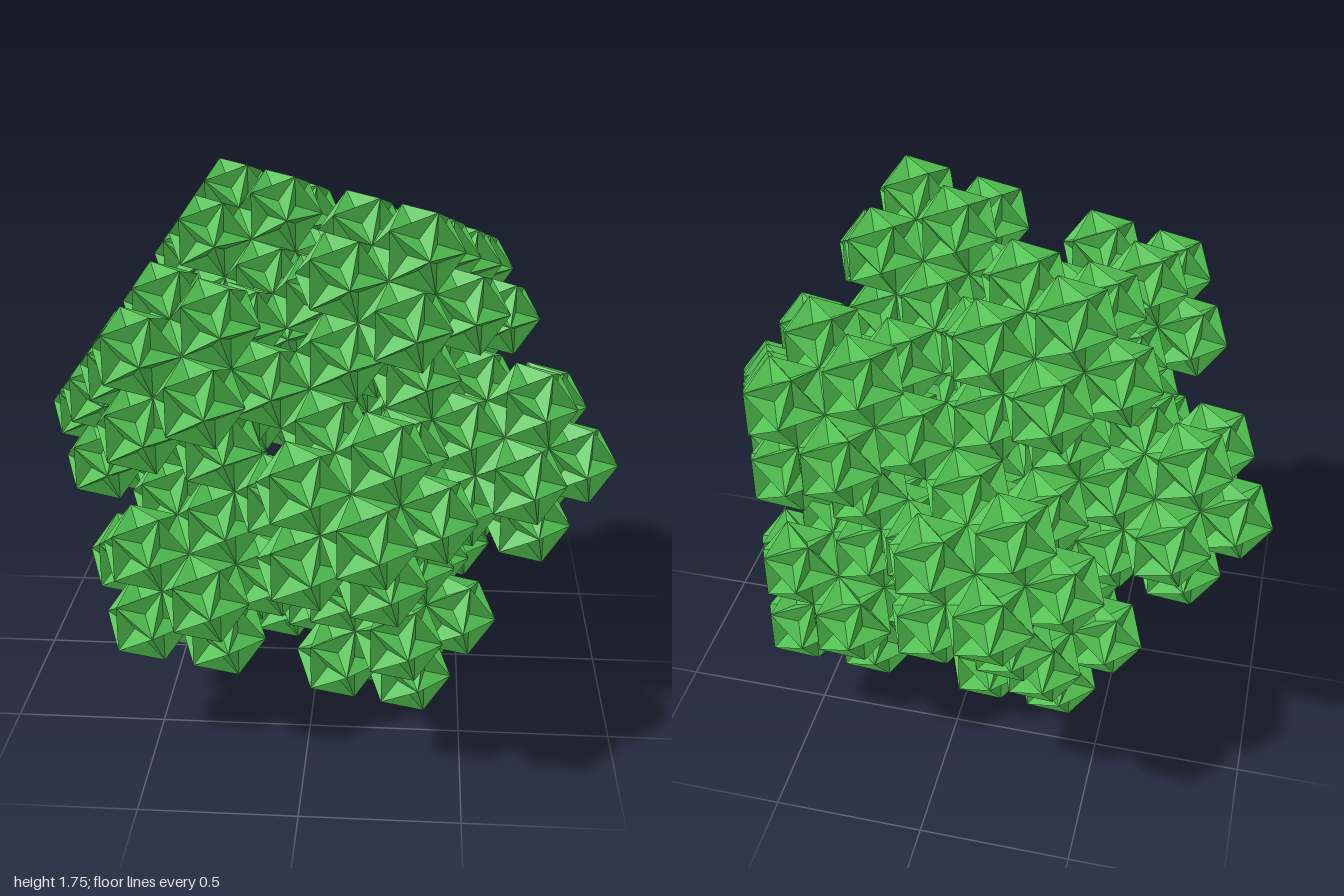
import * as THREE from 'three';

const PHI = (1 + Math.sqrt(5)) / 2;
const SHRINK = 1 / (PHI * PHI); // each copy touches its neighbours at this ratio
const DENT = 0.7082; // depth at which the dents line up into flat pentagons
const SIZE = 1.027;

// Twelve icosahedron corners, an edge on top, turned 45 degrees about y
function icosahedronCorners(radius) {
  const corners = [];
  for (const a of [-1, 1]) {
    for (const b of [-PHI, PHI]) {
      corners.push(
        new THREE.Vector3(b, 0, a),
        new THREE.Vector3(a, b, 0),
        new THREE.Vector3(0, a, b)
      );
    }
  }
  const up = new THREE.Vector3(0, 1, 0);
  return corners.map((c) => c.setLength(radius).applyAxisAngle(up, -Math.PI / 4));
}

// Great dodecahedron: an icosahedron with every face pushed in to a three-sided dent
function dentedGeometry(corners) {
  const positions = [];
  const edge = corners[0].length() * 1.0515;
  const near = (p, q) => Math.abs(p.distanceTo(q) - edge) < edge * 0.01;
  const normal = new THREE.Vector3();
  for (let i = 0; i < 12; i++) {
    for (let j = i + 1; j < 12; j++) {
      for (let k = j + 1; k < 12; k++) {
        let [a, b, c] = [corners[i], corners[j], corners[k]];
        if (!near(a, b) || !near(b, c) || !near(a, c)) continue;
        normal.crossVectors(b, c);
        if (normal.dot(a) < 0) [b, c] = [c, b];
        const pit = a.clone().add(b).add(c).multiplyScalar(DENT / 3);
        for (const [p, q] of [[a, b], [b, c], [c, a]]) {
          positions.push(...p.toArray(), ...q.toArray(), ...pit.toArray());
        }
      }
    }
  }
  const geometry = new THREE.BufferGeometry();
  geometry.setAttribute('position', new THREE.Float32BufferAttribute(positions, 3));
  geometry.computeVertexNormals();
  return geometry;
}

export function createModel() {
  const model = new THREE.Group();
  model.name = 'icosahedronFractal';
  const material = new THREE.MeshStandardMaterial({ color: 0x52c452, flatShading: true });
  const corners = icosahedronCorners(SIZE);
  const geometry = dentedGeometry(icosahedronCorners(SIZE * SHRINK * SHRINK));

  // Twelve clusters at the corners, each made of twelve dented solids
  corners.forEach((outer, i) => {
    const cluster = new THREE.Group();
    cluster.name = `cluster${i + 1}`;
    cluster.position.copy(outer).multiplyScalar(1 - SHRINK);
    corners.forEach((inner, j) => {
      const solid = new THREE.Mesh(geometry, material);
      solid.name = `dentedSolid${j + 1}`;
      solid.position.copy(inner).multiplyScalar((1 - SHRINK) * SHRINK);
      cluster.add(solid);
    });
    model.add(cluster);
  });

  // Stand on the ground
  const lift = Math.max(...corners.map((c) => c.y));
  model.children.forEach((cluster) => (cluster.position.y += lift));
  return model;
}
